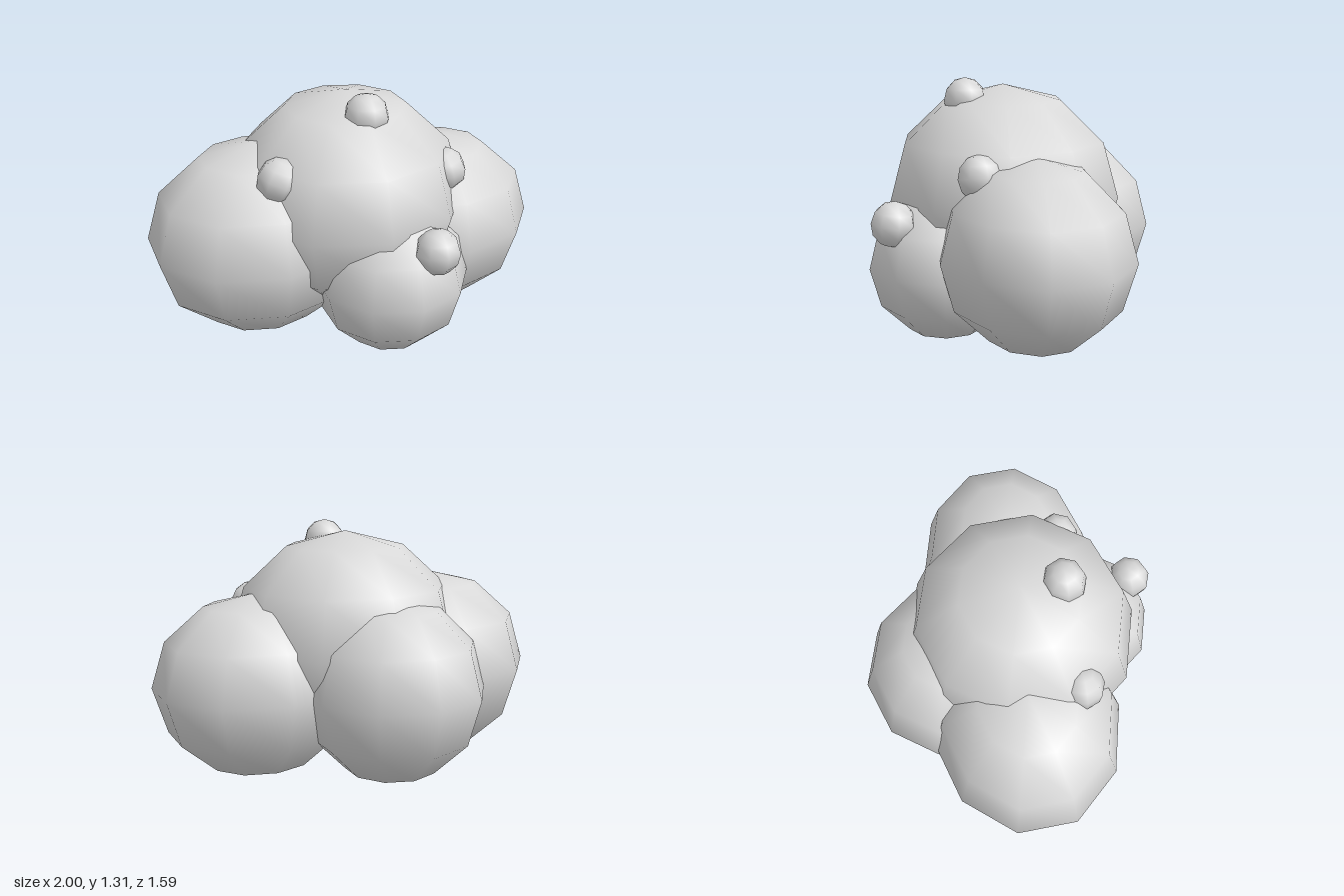
import * as THREE from 'three';

export function createModel() {
  const group = new THREE.Group();
  const paleGrey = new THREE.MeshStandardMaterial({ color: 0xd8d8d8 });
  paleGrey.name = 'paleGrey';

  // Coarse smooth ball whose ring has a corner on the z axis
  const puff = (name, centre, radii, sides = 10) => {
    const geometry = new THREE.SphereGeometry(1, sides, 6);
    geometry.rotateY(Math.PI / 2);
    geometry.scale(...radii);
    const mesh = new THREE.Mesh(geometry, paleGrey);
    mesh.name = name;
    mesh.position.set(...centre);
    group.add(mesh);
    return mesh;
  };

  // Large overlapping lobes
  puff('mainLobe', [0, 0.705, 0.05], [0.61, 0.56, 0.6]);
  puff('rightLobe', [-0.45, 0.535, 0], [0.578, 0.505, 0.495]);
  puff('leftLobe', [0.48, 0.502, 0.073], [0.547, 0.472, 0.472]);
  puff('backLobe', [-0.08, 0.502, -0.32], [0.476, 0.472, 0.472]);
  puff('frontLobe', [0.1, 0.395, 0.4], [0.394, 0.393, 0.39]);

  // Small knobs sitting on the lobes
  const knob = [0.113, 0.112, 0.11];
  puff('topKnob', [0.022, 1.195, 0.26], knob, 8);
  puff('frontKnob', [0.208, 0.643, 0.69], knob, 8).rotation.x = -0.12;
  puff('rightKnob', [-0.425, 0.94, 0.272], knob, 8).rotation.z = -0.4;
  puff('leftKnob', [0.42, 0.88, 0.325], knob, 8).rotation.z = 0.2;

  return group;
}
